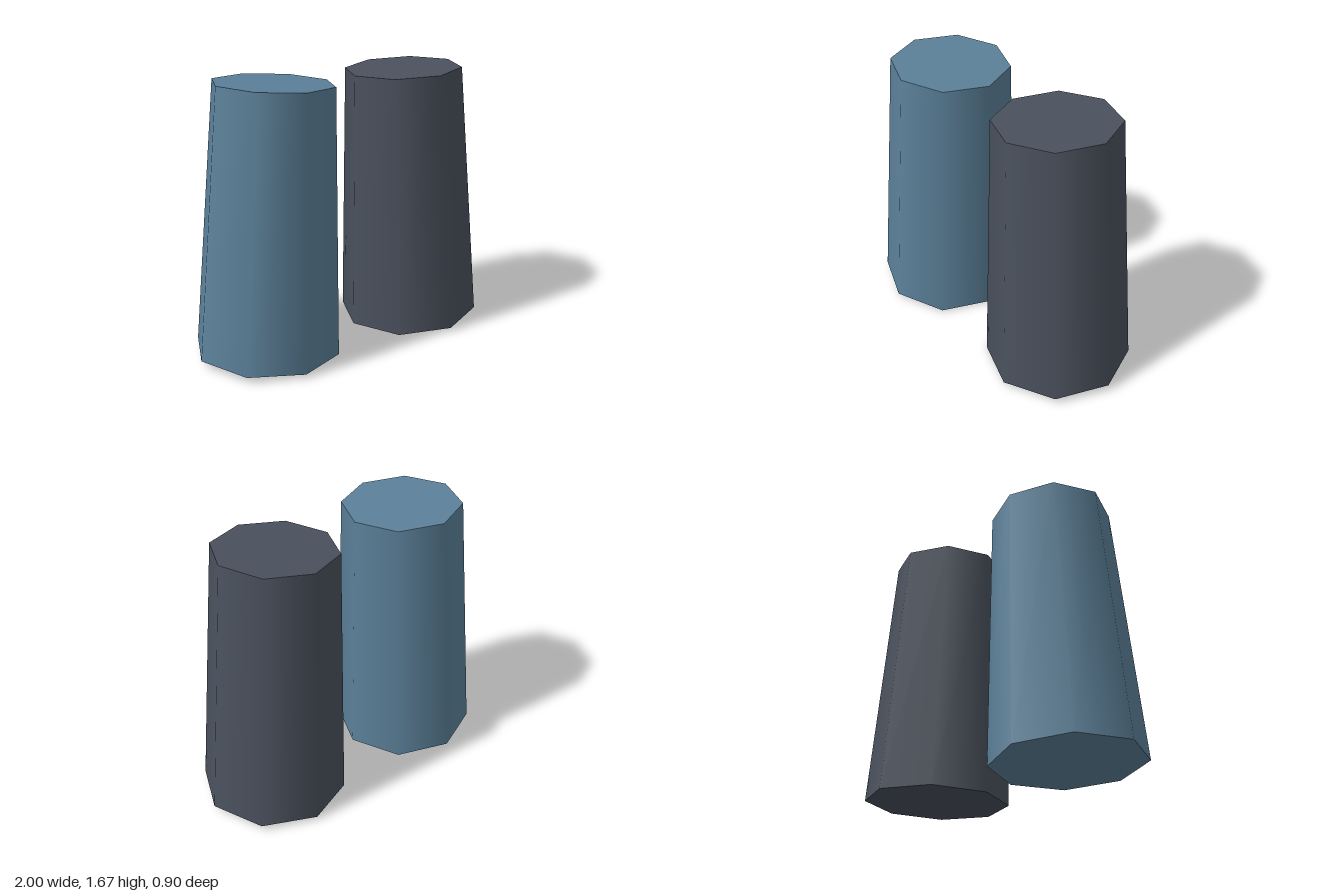
import * as THREE from 'three';

const TILT = 0.051; // each leg leans inward at the top

// Tapered eight-sided leg with smooth sides and flat caps
function makeLeg(name, side, color) {
  const leg = new THREE.Mesh(
    new THREE.CylinderGeometry(0.366, 0.45, 1.633, 8),
    new THREE.MeshStandardMaterial({ color })
  );
  leg.name = name;
  leg.position.set(side * 0.508, 0.843, 0);
  leg.rotation.z = side * TILT;
  return leg;
}

export function createModel() {
  const group = new THREE.Group();
  group.name = 'legs';
  group.add(makeLeg('leftLeg', 1, 0x4a515d));
  group.add(makeLeg('rightLeg', -1, 0x5b8099));
  return group;
}
